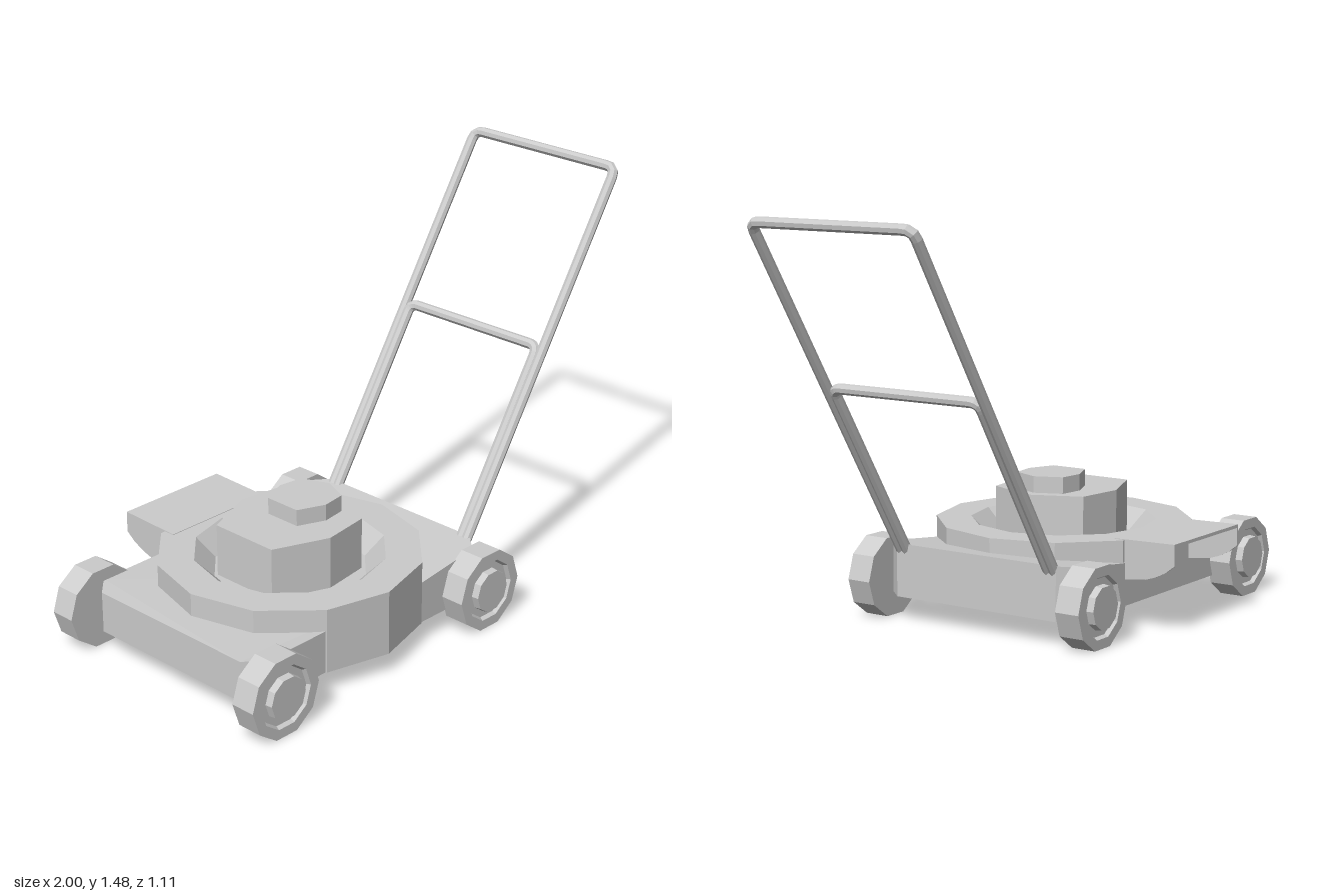
import * as THREE from 'three';

const material = new THREE.MeshStandardMaterial({ color: 0xcccccc, flatShading: true, side: THREE.DoubleSide });
const CX = -0.34, CZ = 0.053; // centre of the round housing

function add(parent, name, geometry, x = 0, y = 0, z = 0) {
  const mesh = new THREE.Mesh(geometry, material);
  mesh.name = name;
  mesh.position.set(x, y, z);
  parent.add(mesh);
  return mesh;
}

const shapeOf = (points) => new THREE.Shape(points.map(([a, b]) => new THREE.Vector2(a, b)));

// Upright prism from an [x, z] footprint
function prism(footprint, y0, y1) {
  const g = new THREE.ExtrudeGeometry(shapeOf(footprint.map(([x, z]) => [x, -z])), { depth: y1 - y0, bevelEnabled: false });
  return g.rotateX(-Math.PI / 2).translate(0, y0, 0);
}

// Move every vertex by a rule
function reshape(geometry, rule) {
  const p = geometry.attributes.position, v = new THREE.Vector3();
  for (let i = 0; i < p.count; i++) {
    rule(v.fromBufferAttribute(p, i));
    p.setXYZ(i, v.x, v.y, v.z);
  }
  geometry.computeVertexNormals();
  return geometry;
}

const lathe = (profile, sides, start = 0) =>
  new THREE.LatheGeometry(profile.map(([r, y]) => new THREE.Vector2(r, y)), sides, start);

// U-shaped tube leaning back, with rounded upper corners
function handleTube(x1, y1, halfWidth, radius) {
  const zc = 0.054, bend = 0.035;
  const foot = new THREE.Vector3(0.2, 0.247, 0), tip = new THREE.Vector3(x1, y1, 0);
  const below = tip.clone().addScaledVector(tip.clone().sub(foot).normalize(), -bend);
  const at = (p, z) => new THREE.Vector3(p.x, p.y, zc + z);
  const w = halfWidth, path = new THREE.CurvePath();
  path.add(new THREE.LineCurve3(at(foot, w), at(below, w)));
  path.add(new THREE.QuadraticBezierCurve3(at(below, w), at(tip, w), at(tip, w - bend)));
  path.add(new THREE.LineCurve3(at(tip, w - bend), at(tip, bend - w)));
  path.add(new THREE.QuadraticBezierCurve3(at(tip, bend - w), at(tip, -w), at(below, -w)));
  path.add(new THREE.LineCurve3(at(below, -w), at(foot, -w)));
  return new THREE.TubeGeometry(path, 160, radius, 8, false);
}

export function createModel() {
  const model = new THREE.Group();
  model.name = 'lawnMower';

  // Deck: flat section, then a section rising towards the handle
  const deck = new THREE.Group();
  deck.name = 'deck';
  model.add(deck);
  add(deck, 'deckFlat', reshape(prism([
    [-0.905, -0.29], [-0.84, -0.355], [-0.1, -0.355], [-0.1, 0.455], [-0.84, 0.455], [-0.905, 0.39],
  ], 0.085, 0.24), (v) => { if (v.y > 0.2 && v.x < -0.87) v.y = 0.235; }));
  add(deck, 'deckRamp', reshape(prism([
    [-0.1, -0.355], [0.16, -0.355], [0.22, -0.29], [0.22, 0.39], [0.16, 0.455], [-0.1, 0.455],
  ], 0.085, 0.24), (v) => { if (v.y > 0.2) v.y += (v.x + 0.1) * 0.12; }));

  // Round blade housing with a dished top, cut flat behind the chute
  add(deck, 'bladeHousing', reshape(lathe([
    [0, 0.084], [0.468, 0.084], [0.468, 0.32], [0.34, 0.32], [0.27, 0.25], [0, 0.25],
  ], 12), (v) => { v.z = Math.max(v.z, -0.405); }), CX, 0, CZ);

  // Engine block and its offset cap share one seven-sided outline
  const outline = [[-0.22, -0.133], [-0.02, -0.214], [0.16, -0.19], [0.24, 0], [0.16, 0.19], [-0.02, 0.214], [-0.22, 0.133]];
  add(model, 'engine', prism(outline, 0.24, 0.44), CX, 0, CZ);
  add(model, 'engineCap', prism(outline.map(([x, z]) => [x * 0.5, z * 0.52]), 0.44, 0.5), -0.265, 0, CZ);

  // Discharge chute: sloping top plate and two side flanges, open below and behind
  const chute = new THREE.Group();
  chute.name = 'dischargeChute';
  model.add(chute);
  const chuteSide = (points, width) =>
    new THREE.ExtrudeGeometry(shapeOf(points), { depth: width, bevelEnabled: false }).rotateY(Math.PI / 2);
  // Shape x is -z here
  add(chute, 'chuteTop', chuteSide([[0.31, 0.31], [0.555, 0.315], [0.555, 0.327], [0.31, 0.322]], 0.44), -0.555);
  for (const x of [-0.555, -0.123]) {
    add(chute, 'chuteFlange', chuteSide([
      [0.35, 0.18], [0.44, 0.19], [0.48, 0.203], [0.52, 0.223], [0.555, 0.25], [0.555, 0.325], [0.35, 0.321],
    ], 0.008), x);
  }

  // Ten-sided wheels with a recessed ring and raised hub
  const wheel = lathe([
    [0, 0], [0.15, 0], [0.15, 0.094], [0.113, 0.094], [0.105, 0.08], [0.08, 0.08], [0.077, 0.106], [0, 0.106],
  ], 10, Math.PI / 2).rotateX(Math.PI / 2);
  for (const x of [-0.85, 0.155]) {
    add(model, 'frontWheel', wheel, x, 0.143, 0.45);
    add(model, 'rearWheel', wheel, x, 0.143, -0.344).rotation.y = Math.PI;
  }

  // Push handle and the shorter brace inside it
  add(model, 'handle', handleTube(0.98, 1.46, 0.328, 0.019));
  add(model, 'handleBrace', handleTube(0.605, 0.88, 0.303, 0.019));

  return model;
}
